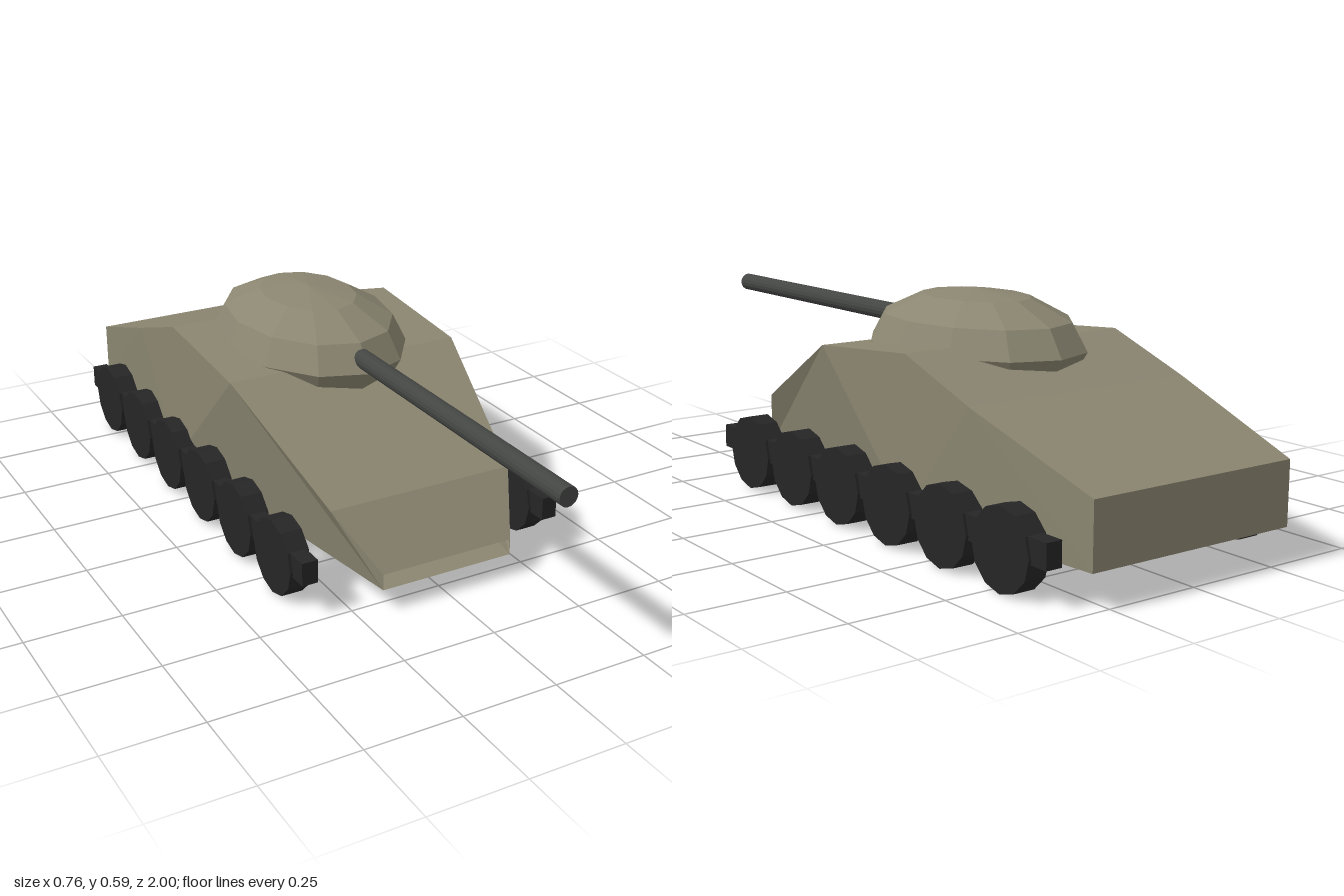
import * as THREE from 'three';

const paint = (color, side = THREE.FrontSide) =>
  new THREE.MeshStandardMaterial({ color, flatShading: true, side });

function add(parent, name, geometry, material, x = 0, y = 0, z = 0) {
  const mesh = new THREE.Mesh(geometry, material);
  mesh.name = name;
  mesh.position.set(x, y, z);
  parent.add(mesh);
  return mesh;
}

// Hull: upper and lower edge points of one side [x, y, z], front to back, mirrored.
function hullGeometry() {
  const top = [
    [0.185, 0.103, 0.54], [0.26, 0.235, 0.41], [0.335, 0.44, 0.01],
    [0.335, 0.47, -0.36], [0.333, 0.383, -0.61], [0.3, 0.25, -1],
  ];
  const low = [[0.185, 0.06, 0.54], [0.335, 0.078, -0.36], [0.3, 0.088, -1]];
  const flip = ([x, y, z]) => [-x, y, z];
  const positions = [];
  const tri = (a, b, c) => positions.push(...a, ...b, ...c);
  const quad = (a, b, c, d) => { tri(a, b, c); tri(a, c, d); };

  // Faceted sides
  const sides = [
    [top[0], low[0], top[1]], [top[1], low[0], top[2]],
    [top[2], low[0], low[1]], [top[2], low[1], top[3]],
    [top[3], low[1], top[4]], [top[4], low[1], low[2]],
    [top[4], low[2], top[5]],
  ];
  for (const [a, b, c] of sides) {
    tri(a, b, c);
    tri(flip(a), flip(c), flip(b));
  }
  // Sloped deck, belly and rear plate; the nose stays open
  for (let i = 0; i < top.length - 1; i++)
    quad(top[i], top[i + 1], flip(top[i + 1]), flip(top[i]));
  for (let i = 0; i < low.length - 1; i++)
    quad(low[i], flip(low[i]), flip(low[i + 1]), low[i + 1]);
  quad(top[5], low[2], flip(low[2]), flip(top[5]));

  const geometry = new THREE.BufferGeometry();
  geometry.setAttribute('position', new THREE.Float32BufferAttribute(positions, 3));
  geometry.computeVertexNormals();
  return geometry;
}

export function createModel() {
  const model = new THREE.Group();
  model.name = 'tank';
  const armour = paint(0x8b8671);
  const steel = paint(0x444644);
  const rubber = paint(0x262626);

  add(model, 'hull', hullGeometry(), paint(0x8b8671, THREE.DoubleSide));

  // Flattened twelve-sided turret
  const dome = new THREE.SphereGeometry(1, 12, 6).scale(0.245, 0.142, 0.34);
  add(model, 'turret', dome, armour, 0, 0.445, -0.2);

  // Gun barrel, rooted inside the turret
  const barrel = new THREE.CylinderGeometry(0.025, 0.025, 1, 16).rotateX(Math.PI / 2);
  add(model, 'gunBarrel', barrel, steel, 0, 0.477, 0.5);

  // Running gear: a beam and six wheels per side
  const beam = new THREE.BoxGeometry(0.043, 0.062, 1.41);
  const wheel = new THREE.CylinderGeometry(0.101, 0.101, 0.058, 12).rotateZ(Math.PI / 2);
  for (const side of [1, -1]) {
    const gear = new THREE.Group();
    gear.name = side > 0 ? 'leftRunningGear' : 'rightRunningGear';
    add(gear, 'axleBeam', beam, rubber, side * 0.351, 0.121, -0.23);
    for (let i = 0; i < 6; i++)
      add(gear, 'roadWheel', wheel, rubber, side * 0.351, 0.101, 0.325 - i * 0.222);
    model.add(gear);
  }
  return model;
}
